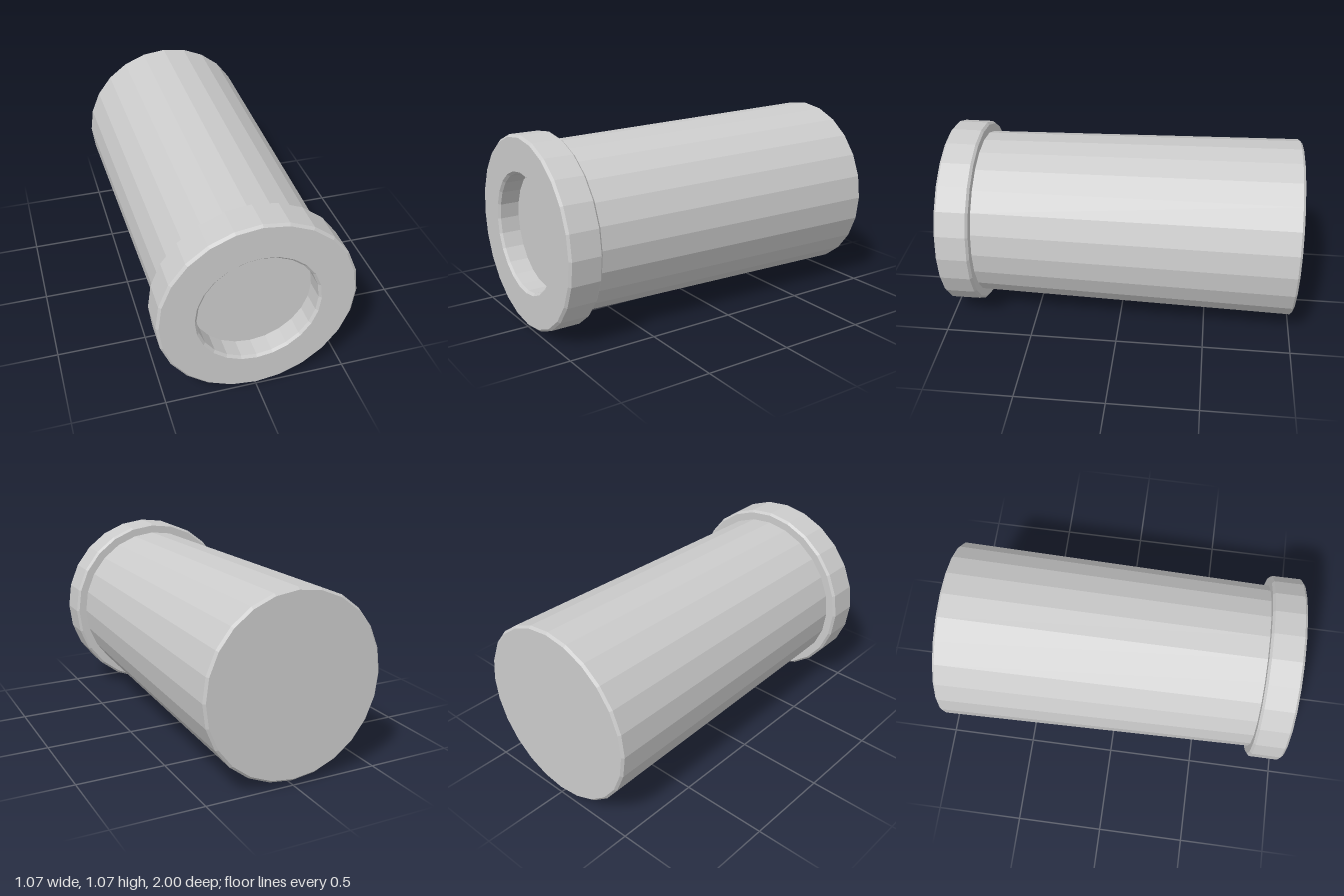
import * as THREE from 'three';

const SIDES = 24;
const RADIUS = 0.535; // outer radius of the collar, also the axis height
const BEVEL = 0.013;

const material = new THREE.MeshStandardMaterial({ color: 0xcccccc, flatShading: true });

// Faceted part turned around the z axis from [radius, z] pairs
function turned(name, profile) {
  const points = profile.map(([r, z]) => new THREE.Vector2(r, z));
  const geometry = new THREE.LatheGeometry(points, SIDES).rotateX(Math.PI / 2);
  const mesh = new THREE.Mesh(geometry, material);
  mesh.name = name;
  mesh.position.y = RADIUS;
  return mesh;
}

export function createModel() {
  const group = new THREE.Group();
  group.name = 'flangedBarrel';

  // Tapered barrel, closed at the back; its front cap is the floor of the recess
  group.add(turned('barrel', [
    [0, -1],
    [0.5, -1],
    [0.513, -1 + BEVEL],
    [0.476, 0.81],
    [0.475, 0.88],
    [0, 0.88],
  ]));

  // Bevelled collar with a round opening
  const hole = 0.325;
  group.add(turned('collar', [
    [hole, 0.81],
    [RADIUS - BEVEL, 0.81],
    [RADIUS, 0.81 + BEVEL],
    [RADIUS, 1 - BEVEL],
    [RADIUS - BEVEL, 1],
    [hole + BEVEL, 1],
    [hole, 1 - BEVEL],
    [hole, 0.81],
  ]));

  return group;
}
